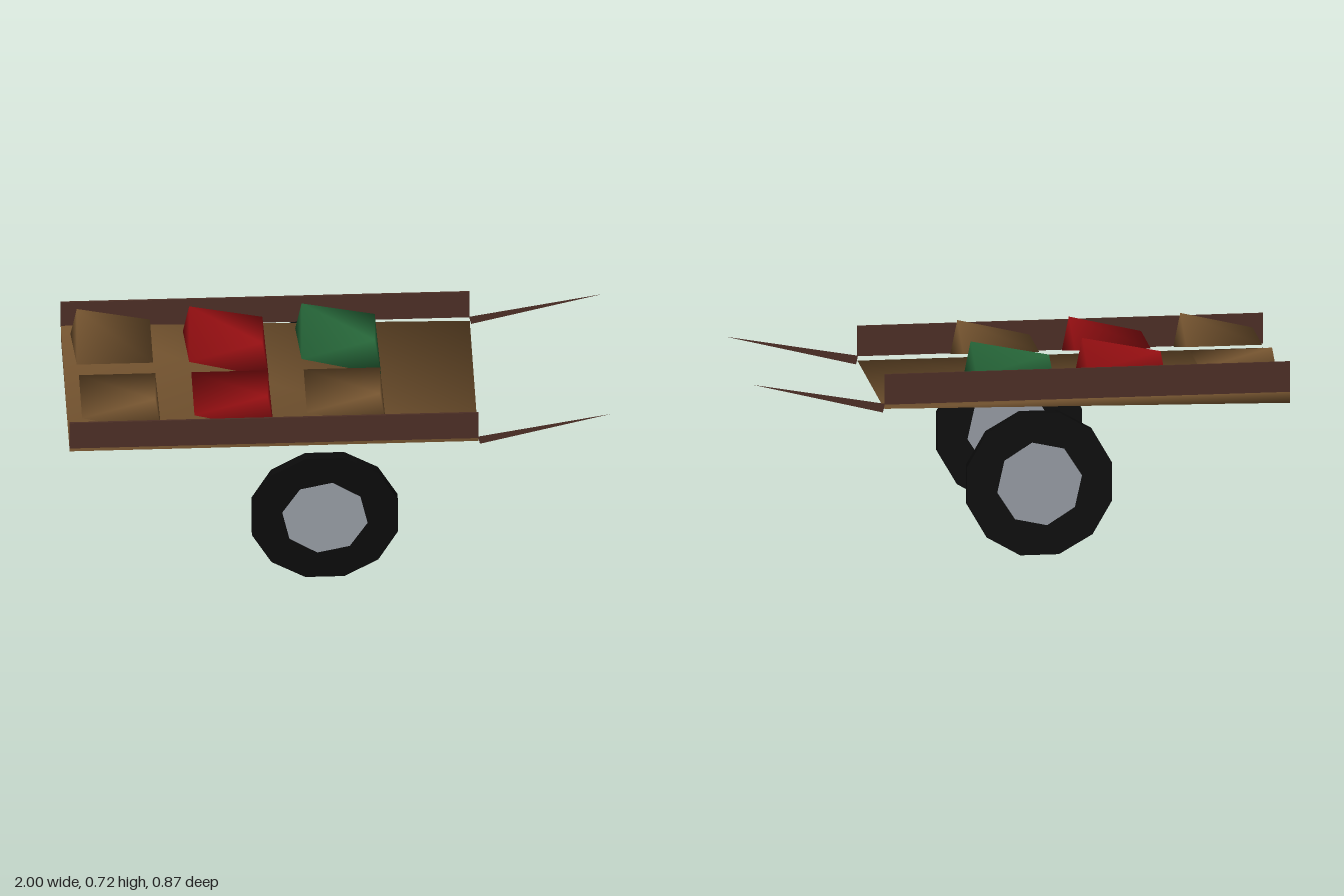
import * as THREE from 'three';

const mat = (name, color, side = THREE.FrontSide) => {
  const m = new THREE.MeshStandardMaterial({ color, side });
  m.name = name;
  return m;
};

// Box whose corners are either a full vertical edge (thick) or pinched to one point.
// Corner order: (-x,+z), (+x,+z), (+x,-z), (-x,-z); lo / hi are [halfX, halfZ].
function pinchedBox(lo, hi, y0, y1, thick) {
  const signs = [[-1, 1], [1, 1], [1, -1], [-1, -1]];
  const pos = [], b = [], t = [], index = [];
  const add = (s, h, y) => pos.push(s[0] * h[0], y, s[1] * h[1]) / 3 - 1;
  const mid = [(lo[0] + hi[0]) / 2, (lo[1] + hi[1]) / 2];
  signs.forEach((s, i) => {
    if (thick.includes(i)) {
      b[i] = add(s, lo, y0);
      t[i] = add(s, hi, y1);
    } else {
      b[i] = t[i] = add(s, mid, (y0 + y1) / 2);
    }
  });
  const tri = (p, q, r) => {
    if (p !== q && q !== r && p !== r) index.push(p, q, r);
  };
  tri(t[0], t[1], t[3]);
  tri(t[1], t[2], t[3]);
  tri(b[3], b[1], b[0]);
  tri(b[3], b[2], b[1]);
  for (let i = 0; i < 4; i++) {
    const j = (i + 1) % 4;
    tri(b[i], b[j], t[j]);
    tri(b[i], t[j], t[i]);
  }
  const g = new THREE.BufferGeometry();
  g.setAttribute('position', new THREE.Float32BufferAttribute(pos, 3));
  g.setIndex(index);
  g.computeVertexNormals();
  return g;
}

export function createModel() {
  const root = new THREE.Group();
  root.name = 'handCart';
  const wood = mat('wood', 0x7a5832);
  const darkWood = mat('dark wood', 0x4c2e25, THREE.DoubleSide);
  const red = mat('red', 0x980f12);
  const green = mat('green', 0x27683a);
  const rubber = mat('black rubber', 0x0b0b0b);
  const metal = mat('grey metal', 0x969ba3);

  const add = (name, geo, material, x, y, z, parent = root) => {
    const m = new THREE.Mesh(geo, material);
    m.name = name;
    m.position.set(x, y, z);
    parent.add(m);
    return m;
  };

  // Deck, thick at one rear corner and tapering to the others
  const deckHalf = [0.755, 0.376];
  add('deck', pinchedBox(deckHalf, deckHalf, 0.533, 0.585, [3]), wood, -0.245, 0, 0);

  // Crates in two rows
  const crates = [
    [-0.81, 0.168, wood, [1]], [-0.395, 0.168, red, [1]], [0.02, 0.168, wood, [1]],
    [-0.815, -0.168, wood, [3]], [-0.4, -0.167, red, [1, 3]], [0.015, -0.167, green, [1, 3]],
  ];
  crates.forEach(([x, z, m, thick], i) => {
    add('crate' + (i + 1), pinchedBox([0.152, 0.15], [0.13, 0.12], 0.588, 0.723, thick), m, x, 0, z);
  });

  // Pointed pull shaft, a thin upright blade
  const blade = new THREE.Shape([
    new THREE.Vector2(0.515, 0.545), new THREE.Vector2(1, 0.666), new THREE.Vector2(0.508, 0.578),
  ]);

  for (const [side, s] of [['front', 1], ['back', -1]]) {
    add(side + 'Rail', new THREE.BoxGeometry(1.51, 0.115, 0.007), darkWood, -0.245, 0.6335, s * 0.378);
    add(side + 'Shaft', new THREE.ShapeGeometry(blade), darkWood, 0, 0, s * 0.375);

    // Wheel: twelve-sided tyre with an eight-sided plate on both faces
    const wheel = new THREE.Group();
    wheel.name = side + 'Wheel';
    wheel.position.set(-0.06, 0.27, s * 0.416);
    const tyre = new THREE.CylinderGeometry(0.279, 0.279, 0.038, 12, 1);
    tyre.rotateY(Math.PI / 12).rotateX(Math.PI / 2);
    add('tyre', tyre, rubber, 0, 0, 0, wheel);
    const hub = new THREE.CylinderGeometry(0.16, 0.16, 0.042, 8);
    hub.rotateX(Math.PI / 2).rotateZ(-0.175);
    add('hub', hub, metal, 0, 0, 0, wheel);
    root.add(wheel);
  }
  return root;
}
